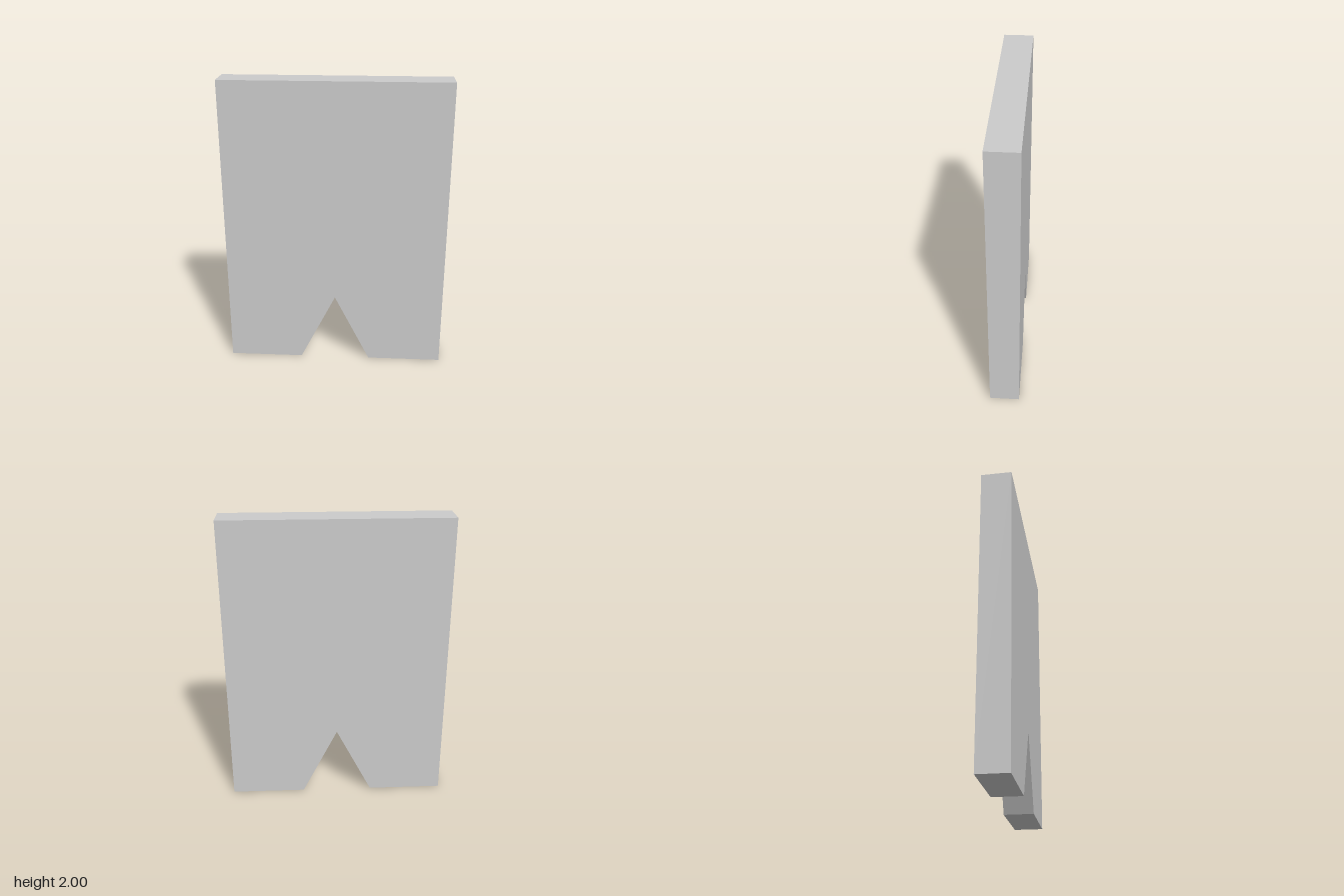
import * as THREE from 'three';

export function createModel() {
  const group = new THREE.Group();
  group.name = 'notchedPanel';

  const halfWidth = 0.75, height = 2, depth = 0.2;
  const notchHalf = 0.243, notchHeight = 0.487;

  // Upright slab outline with a V-shaped notch in the bottom edge
  const outline = new THREE.Shape([
    [-halfWidth, 0], [-notchHalf, 0], [0, notchHeight], [notchHalf, 0],
    [halfWidth, 0], [halfWidth, height], [-halfWidth, height],
  ].map(([x, y]) => new THREE.Vector2(x, y)));

  const geometry = new THREE.ExtrudeGeometry(outline, { depth, bevelEnabled: false });
  geometry.translate(0, 0, -depth / 2);

  const panel = new THREE.Mesh(
    geometry,
    new THREE.MeshStandardMaterial({ color: 0xcccccc, flatShading: true }),
  );
  panel.name = 'panel';
  group.add(panel);
  return group;
}
